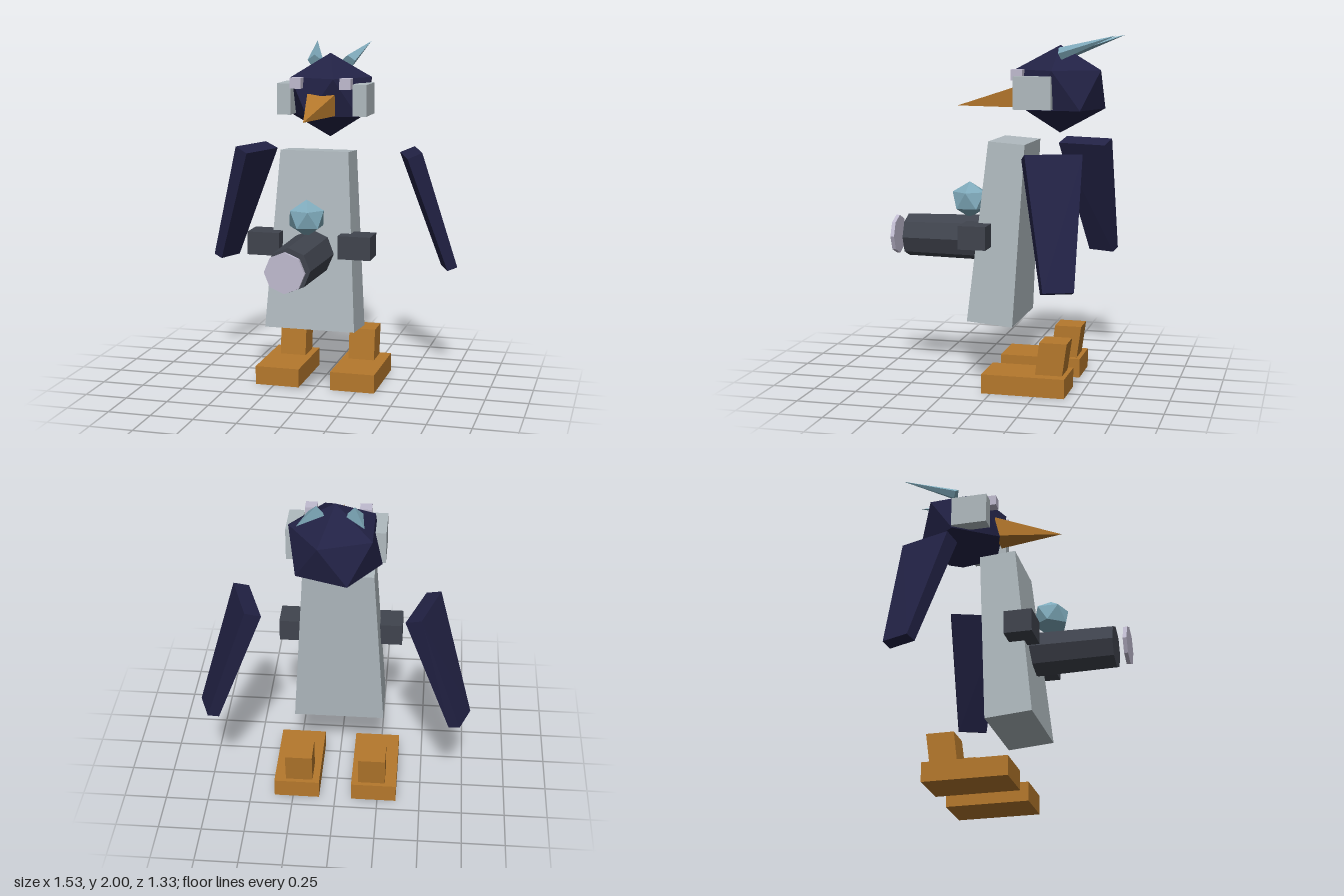
import * as THREE from 'three';
import { ConvexGeometry } from 'three/addons/geometries/ConvexGeometry.js';

const flat = (name, color) => {
  const m = new THREE.MeshStandardMaterial({ color, flatShading: true });
  m.name = name;
  return m;
};

export function createModel() {
  const model = new THREE.Group();
  const navy = flat('navy', 0x222245);
  const grey = flat('pale grey', 0xb0babf);
  const orange = flat('orange', 0xb5782c);
  const blue = flat('ice blue', 0x7faabb);
  const dark = flat('dark metal', 0x40444e);
  const lilac = flat('lilac', 0xc0bbd0);

  const add = (name, geometry, material, x = 0, y = 0, z = 0) => {
    const mesh = new THREE.Mesh(geometry, material);
    mesh.name = name;
    mesh.position.set(x, y, z);
    model.add(mesh);
    return mesh;
  };
  // Flat-sided solid from its corners, optionally mirrored in x
  const solid = (name, corners, material, side = 1) =>
    add(name, new ConvexGeometry(corners.map(([x, y, z]) => new THREE.Vector3(x * side, y, z))), material);
  // Box from its minimum and maximum corners
  const box = (name, a, b, material, side = 1) =>
    add(name, new THREE.BoxGeometry(b[0] - a[0], b[1] - a[1], b[2] - a[2]), material,
      side * (a[0] + b[0]) / 2, (a[1] + b[1]) / 2, (a[2] + b[2]) / 2);
  // Icosahedron standing on a corner, with an upper corner towards +x
  const gem = (name, rx, ry, rz, material, x, y, z) => {
    const g = new THREE.IcosahedronGeometry(1, 0);
    g.rotateX(-Math.atan((1 + Math.sqrt(5)) / 2)).rotateY(Math.PI / 2).scale(rx, ry, rz);
    return add(name, g, material, x, y, z);
  };
  // Octagonal cylinder along z
  const tube = (name, rFront, rBack, z0, z1, material) => {
    const g = new THREE.CylinderGeometry(rFront, rBack, z1 - z0, 8);
    g.rotateX(Math.PI / 2);
    return add(name, g, material, 0, 0.83, (z0 + z1) / 2);
  };

  // Leaning, tapered body
  const body = [];
  for (const s of [-1, 1]) {
    body.push([0.2 * s, 1.41, 0.05], [0.2 * s, 1.395, -0.16],
      [0.265 * s, 0.388, 0.16], [0.265 * s, 0.366, -0.105]);
  }
  solid('body', body, grey);

  // Head and beak
  gem('head', 0.28, 0.247, 0.288, navy, 0, 1.698, -0.32);
  solid('beak', [[-0.083, 1.72, -0.105], [0.083, 1.72, -0.105],
    [-0.083, 1.595, -0.105], [0.083, 1.595, -0.105], [0, 1.595, 0.285]], orange);

  // Barrel, floating lens and the gem on top
  tube('barrel', 0.124, 0.133, 0.09, 0.587, dark);
  tube('lens', 0.113, 0.113, 0.643, 0.665, lilac);
  gem('barrelGem', 0.112, 0.106, 0.112, blue, 0, 1.05, 0.213);

  for (const s of [-1, 1]) {
    const side = s > 0 ? 'left' : 'right';
    // Face details
    box(side + 'Eye', [0.115, 1.75, -0.14], [0.18, 1.812, -0.073], lilac, s);
    box(side + 'Cheek', [0.185, 1.595, -0.32], [0.267, 1.777, -0.107], grey, s);
    solid(side + 'Horn', [[0.145, 1.9, -0.335], [0.125, 1.865, -0.35], [0.05, 1.89, -0.35],
      [0.1, 1.932, -0.33], [0.17, 2, -0.66]], blue, s);

    // Splayed wing, detached from the body
    solid(side + 'Wing', [
      [0.47, 1.38, -0.54], [0.385, 1.345, -0.51], [0.49, 1.345, -0.21], [0.57, 1.38, -0.245],
      [0.705, 0.68, -0.545], [0.645, 0.66, -0.525], [0.71, 0.66, -0.365], [0.765, 0.68, -0.39],
    ], navy, s);

    // Hand, leaning leg and foot
    box(side + 'Hand', [0.172, 0.817, 0.025], [0.36, 0.95, 0.185], dark, s);
    const leg = [];
    for (const x of [0.135, 0.293]) {
      leg.push([x, 0.09, -0.242], [x, 0.09, -0.397], [x, 0.295, -0.268], [x, 0.295, -0.425]);
    }
    solid(side + 'Leg', leg, orange, s);
    box(side + 'Foot', [0.095, 0, -0.425], [0.36, 0.11, 0.052], orange, s);
  }
  return model;
}
